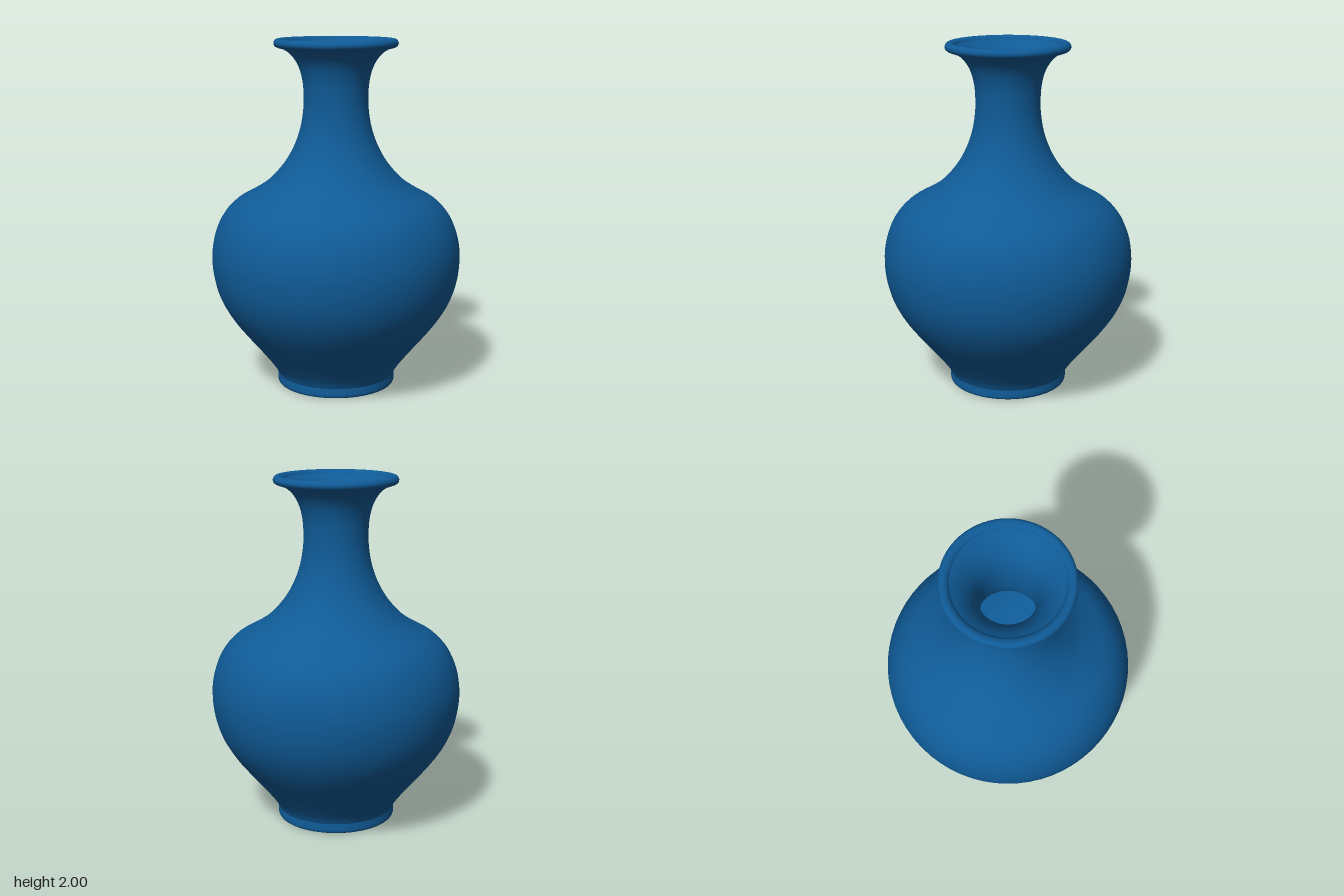
import * as THREE from 'three';

const glaze = new THREE.MeshStandardMaterial({ color: 0x0f5a96 });
glaze.name = 'blue glaze';

// Smooth curve through [radius, height] pairs, as lathe points
function profile(pairs, steps) {
  const curve = new THREE.CatmullRomCurve3(
    pairs.map(([r, y]) => new THREE.Vector3(r, y, 0)), false, 'centripetal');
  return curve.getPoints((pairs.length - 1) * steps)
    .map(p => new THREE.Vector2(Math.max(p.x, 0), p.y));
}

function lathe(name, pairs, steps = 4) {
  const mesh = new THREE.Mesh(new THREE.LatheGeometry(profile(pairs, steps), 64), glaze);
  mesh.name = name;
  return mesh;
}

export function createModel() {
  const vase = new THREE.Group();
  vase.name = 'vase';

  // Recessed underside and rounded foot ring
  vase.add(lathe('foot', [
    [0, 0.025], [0.15, 0.025], [0.26, 0.024], [0.29, 0.012], [0.305, 0.002], [0.32, 0],
    [0.335, 0.004], [0.341, 0.015], [0.341, 0.035], [0.339, 0.06],
  ]));

  // Belly, shoulder, neck and flared rolled lip
  vase.add(lathe('body', [
    [0.339, 0.06], [0.36, 0.1], [0.436, 0.2], [0.52, 0.3], [0.598, 0.4], [0.658, 0.5],
    [0.695, 0.6], [0.714, 0.72], [0.711, 0.82], [0.687, 0.92], [0.642, 1.01], [0.57, 1.085],
    [0.465, 1.145], [0.385, 1.2], [0.295, 1.3], [0.238, 1.4], [0.203, 1.5], [0.186, 1.6],
    [0.183, 1.68], [0.19, 1.77], [0.213, 1.85], [0.252, 1.91], [0.295, 1.942],
    [0.325, 1.951], [0.344, 1.96], [0.351, 1.975], [0.347, 1.99], [0.335, 2],
    [0.318, 2], [0.303, 1.992], [0.295, 1.98],
  ]));

  // Inner wall and floor, running from the lip downwards
  vase.add(lathe('interior', [
    [0.295, 1.98], [0.255, 1.955], [0.21, 1.91], [0.175, 1.85], [0.153, 1.77], [0.145, 1.68],
    [0.148, 1.6], [0.165, 1.5], [0.2, 1.4], [0.257, 1.3], [0.345, 1.2], [0.43, 1.14],
    [0.535, 1.07], [0.605, 1], [0.65, 0.91], [0.674, 0.81], [0.676, 0.72], [0.657, 0.6],
    [0.562, 0.4], [0.4, 0.2], [0.3, 0.09], [0.15, 0.06], [0, 0.06],
  ]));

  return vase;
}
